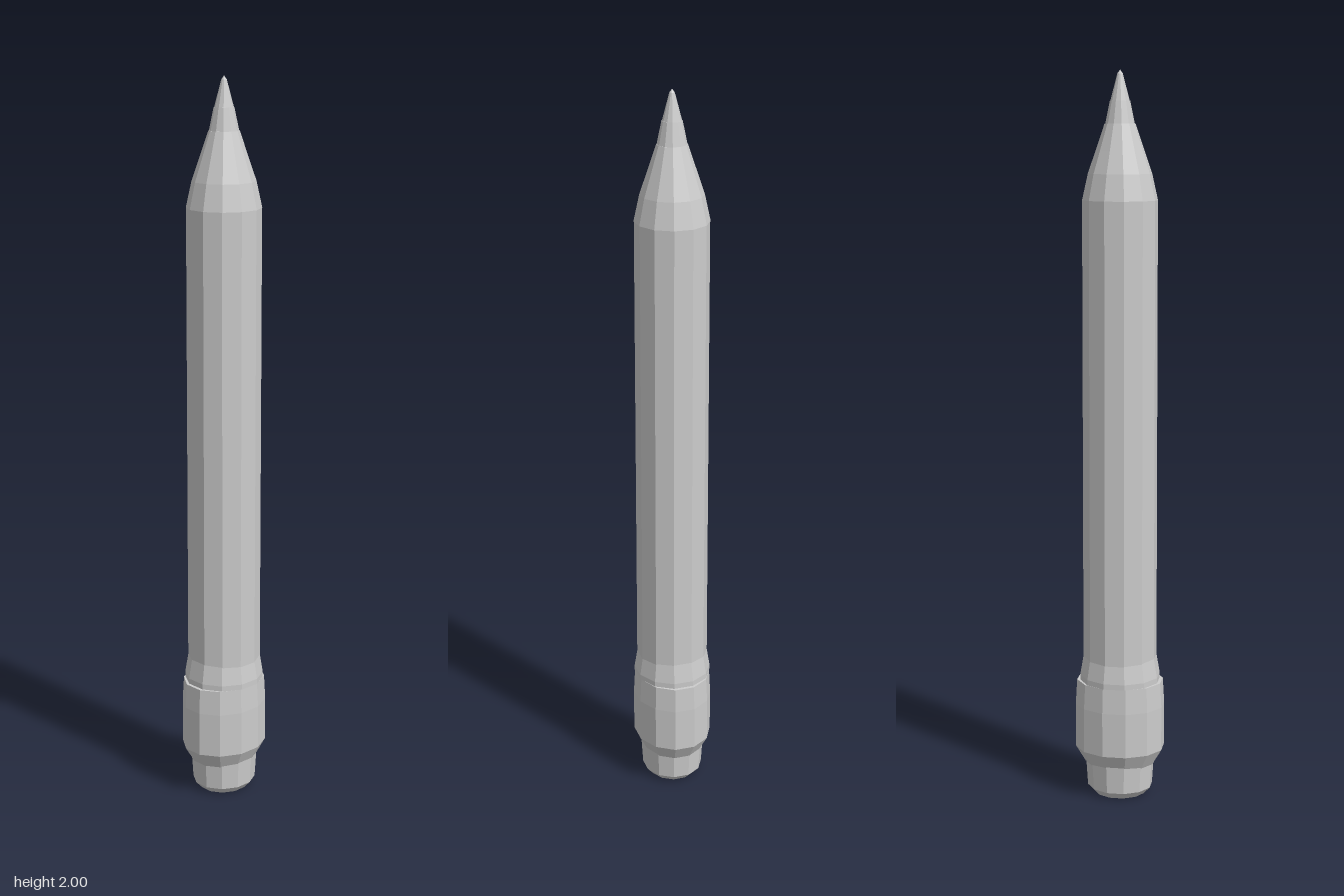
import * as THREE from 'three';

const SIDES = 12;
const material = new THREE.MeshStandardMaterial({ color: 0xcccccc, flatShading: true });

// Faceted turned part: profile of [radius, height], flats facing the axes
function turned(name, profile, depth = 1) {
  const k = 1.02 / Math.cos(Math.PI / SIDES) ** 0.5;
  const points = profile.map(([r, y]) => new THREE.Vector2(r * k, y));
  const geometry = new THREE.LatheGeometry(points, SIDES, Math.PI / SIDES);
  geometry.scale(1, 1, depth);
  const mesh = new THREE.Mesh(geometry, material);
  mesh.name = name;
  return mesh;
}

export function createModel() {
  const group = new THREE.Group();
  group.name = 'pencil';

  // Eraser stub at the bottom
  group.add(turned('eraser', [[0, 0.01], [0.07, 0], [0.088, 0.02], [0.093, 0.1], [0.093, 0.14], [0, 0.14]], 0.93));

  // Wide ferrule band, slightly flattened front to back
  group.add(turned('ferrule', [[0, 0.09], [0.095, 0.09], [0.121, 0.135], [0.121, 0.26], [0.117, 0.33], [0, 0.33]], 0.87));

  // Collar tapering from the ferrule into the shaft
  group.add(turned('collar', [[0, 0.33], [0.108, 0.33], [0.108, 0.345], [0.099, 0.4], [0, 0.4]], 0.96));

  // Long faceted shaft
  group.add(turned('shaft', [[0, 0.38], [0.099, 0.38], [0.098, 1.66], [0, 1.66]], 0.97));

  // Sharpened wood cone
  group.add(turned('sharpenedCone', [[0, 1.66], [0.098, 1.66], [0.083, 1.73], [0.063, 1.79], [0.04, 1.86], [0, 1.86]], 0.98));

  // Lead point
  group.add(turned('leadCollar', [[0, 1.86], [0.038, 1.86], [0.026, 1.92], [0, 1.92]]));
  group.add(turned('leadTip', [[0, 1.915], [0.026, 1.915], [0.007, 1.99], [0, 2]]));

  return group;
}
